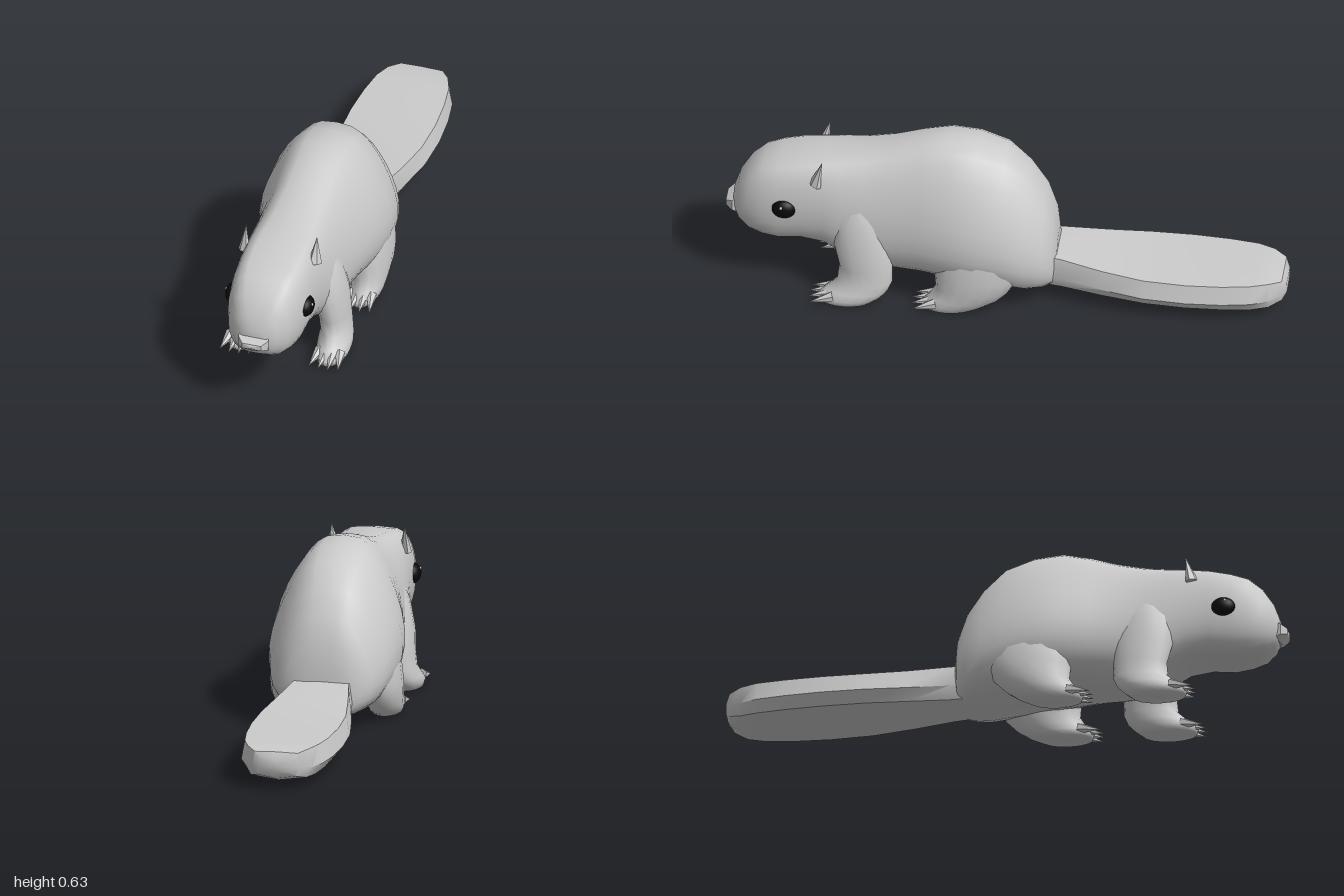
import * as THREE from 'three';
import { toCreasedNormals } from 'three/addons/utils/BufferGeometryUtils.js';
import { ConvexGeometry } from 'three/addons/geometries/ConvexGeometry.js';

const grey = new THREE.MeshStandardMaterial({ color: 0xcccccc });
const greyFlat = new THREE.MeshStandardMaterial({ color: 0xcccccc, flatShading: true });
const black = new THREE.MeshStandardMaterial({ color: 0x0a0a0a });
const white = new THREE.MeshStandardMaterial({ color: 0xffffff });

// Skin through closed rings of equal length, capped at both ends
function loft(rings) {
  const n = rings[0].length;
  const pos = [], idx = [];
  rings.forEach((r) => r.forEach((p) => pos.push(...p)));
  for (let i = 0; i < rings.length - 1; i++) {
    for (let j = 0; j < n; j++) {
      const a = i * n + j, b = i * n + (j + 1) % n;
      idx.push(a, b, a + n, b, b + n, a + n);
    }
  }
  [0, rings.length - 1].forEach((i) => {
    const c = [0, 1, 2].map((k) => rings[i].reduce((s, p) => s + p[k], 0) / n);
    const ci = pos.length / 3;
    pos.push(...c);
    for (let j = 0; j < n; j++) {
      const a = i * n + j, b = i * n + (j + 1) % n;
      if (i === 0) idx.push(ci, b, a); else idx.push(ci, a, b);
    }
  });
  const g = new THREE.BufferGeometry();
  g.setAttribute('position', new THREE.Float32BufferAttribute(pos, 3));
  g.setIndex(idx);
  g.computeVertexNormals();
  return g;
}

function add(parent, name, geometry, material = grey) {
  const m = new THREE.Mesh(geometry, material);
  m.name = name;
  parent.add(m);
  return m;
}

// Upright cross-section: k makes it pear-shaped, p makes it boxy
function bodyRing([z, bottom, top, w, k, p]) {
  const cy = (bottom + top) / 2, h = (top - bottom) / 2;
  return Array.from({ length: 28 }, (_, j) => {
    const a = (j / 28) * Math.PI * 2, c = Math.cos(a), s = Math.sin(a);
    return [w * Math.sign(c) * Math.abs(c) ** p * (1 - k * s), cy + h * s, z];
  });
}

// Level oval cross-section of a leg
function legRing(side, [y, x, zBack, zFront, rx]) {
  const cz = (zBack + zFront) / 2, rz = (zFront - zBack) / 2;
  return Array.from({ length: 16 }, (_, j) => {
    const a = (j / 16) * Math.PI * 2;
    return [side * x + rx * Math.cos(a), y, cz - rz * Math.sin(a)];
  });
}

function addLeg(parent, name, side, rings, toeX, toeZ) {
  const leg = new THREE.Group();
  leg.name = name;
  parent.add(leg);
  add(leg, 'limb', loft(rings.map((r) => legRing(side, r))));
  // Four fanned, pointed toes
  for (let i = 0; i < 4; i++) {
    const t = i - 1.5;
    const g = new THREE.ConeGeometry(0.021, 0.085, 6);
    g.rotateX(Math.PI / 2 + 0.2);
    const toe = add(leg, 'toe', g, greyFlat);
    toe.rotation.y = side * t * 0.14;
    toe.position.set(side * (toeX + t * 0.03), 0.025, toeZ - Math.abs(t) * 0.008);
  }
}

export function createModel() {
  const model = new THREE.Group();

  // Body and head: z, bottom, top, half width, pear, boxiness
  add(model, 'body', loft([
    [-0.185, 0.08, 0.24, 0.08, 0.1, 0.8],
    [-0.172, 0.065, 0.33, 0.13, 0.2, 0.7],
    [-0.14, 0.055, 0.42, 0.165, 0.25, 0.7],
    [-0.08, 0.055, 0.51, 0.195, 0.3, 0.7],
    [0, 0.07, 0.585, 0.215, 0.3, 0.68],
    [0.1, 0.085, 0.62, 0.222, 0.3, 0.65],
    [0.2, 0.095, 0.632, 0.212, 0.3, 0.65],
    [0.3, 0.1, 0.613, 0.19, 0.26, 0.65],
    [0.4, 0.1, 0.582, 0.172, 0.2, 0.62],
    [0.5, 0.11, 0.56, 0.165, 0.15, 0.58],
    [0.58, 0.15, 0.548, 0.158, 0.1, 0.52],
    [0.64, 0.185, 0.54, 0.15, 0.06, 0.46],
    [0.72, 0.198, 0.53, 0.144, 0.03, 0.42],
    [0.8, 0.19, 0.513, 0.14, 0.03, 0.42],
    [0.86, 0.195, 0.495, 0.13, 0.03, 0.46],
    [0.91, 0.208, 0.455, 0.112, 0.03, 0.5],
    [0.948, 0.235, 0.4, 0.083, 0, 0.6],
    [0.968, 0.27, 0.345, 0.045, 0, 0.8],
  ].map(bodyRing)));

  // Flat paddle tail: z, bottom, top, half width
  const tailProfile = [[1, 0.45], [0.91, 1], [0, 1.02], [-0.91, 1], [-1, 0.45], [-0.82, 0.12], [0, 0], [0.82, 0.12]];
  const tail = loft([
    [-1, 0.07, 0.115, 0.055],
    [-0.985, 0.045, 0.14, 0.085],
    [-0.94, 0.028, 0.148, 0.122],
    [-0.88, 0.026, 0.15, 0.147],
    [-0.78, 0.027, 0.15, 0.164],
    [-0.65, 0.03, 0.152, 0.173],
    [-0.5, 0.035, 0.157, 0.168],
    [-0.35, 0.042, 0.17, 0.143],
    [-0.2, 0.05, 0.19, 0.112],
    [-0.05, 0.06, 0.2, 0.1],
  ].map(([z, b, t, w]) => tailProfile.map(([u, v]) => [u * w, b + (t - b) * v, z])));
  add(model, 'tail', toCreasedNormals(tail, 0.65));

  // Faceted nose
  const nose = [];
  for (const s of [-1, 1]) {
    for (const [x, y, z] of [[0.05, 0.325, 0.95], [0.056, 0.315, 0.972], [0.055, 0.275, 0.972], [0.05, 0.264, 0.95], [0, 0.26, 0.972], [0.035, 0.303, 0.995], [0.035, 0.283, 0.995], [0, 0.293, 1]]) {
      nose.push(new THREE.Vector3(s * x, y, z));
    }
  }
  add(model, 'nose', new ConvexGeometry(nose));

  for (const side of [-1, 1]) {
    const label = side > 0 ? 'left' : 'right';

    // Leg rings: y, x, back z, front z, half width
    addLeg(model, label + 'FrontLeg', side, [
      [0.003, 0.163, 0.46, 0.65, 0.054],
      [0.025, 0.164, 0.43, 0.655, 0.06],
      [0.05, 0.16, 0.405, 0.625, 0.058],
      [0.085, 0.155, 0.39, 0.585, 0.052],
      [0.14, 0.148, 0.39, 0.58, 0.054],
      [0.22, 0.138, 0.39, 0.6, 0.06],
      [0.32, 0.118, 0.41, 0.6, 0.06],
      [0.41, 0.1, 0.45, 0.56, 0.045],
    ], 0.165, 0.65);
    addLeg(model, label + 'HindLeg', side, [
      [0.003, 0.163, 0.1, 0.28, 0.052],
      [0.025, 0.165, 0.05, 0.285, 0.06],
      [0.05, 0.167, 0.01, 0.26, 0.062],
      [0.09, 0.165, -0.03, 0.235, 0.069],
      [0.14, 0.16, -0.06, 0.24, 0.075],
      [0.22, 0.148, -0.08, 0.24, 0.08],
      [0.32, 0.128, -0.06, 0.22, 0.08],
      [0.42, 0.11, 0, 0.16, 0.06],
    ], 0.165, 0.285);

    // Pointed ear, hollowed on its front
    const earShape = new THREE.ConeGeometry(0.036, 0.1, 6, 2);
    earShape.scale(0.75, 1, 0.5);
    const ear = add(model, label + 'Ear', earShape, greyFlat);
    ear.position.set(side * 0.131, 0.51, 0.655);
    ear.rotation.set(-0.25, side * 0.7, 0);

    // Eye with a small glint
    const eye = new THREE.Group();
    eye.name = label + 'Eye';
    eye.position.set(side * 0.135, 0.353, 0.778);
    model.add(eye);
    add(eye, 'eyeball', new THREE.SphereGeometry(1, 20, 14), black).scale.set(0.028, 0.036, 0.043);
    const glint = add(eye, 'glint', new THREE.SphereGeometry(0.006, 8, 6), white);
    glint.position.set(side * 0.023, 0.016, 0.008);
  }

  return model;
}
